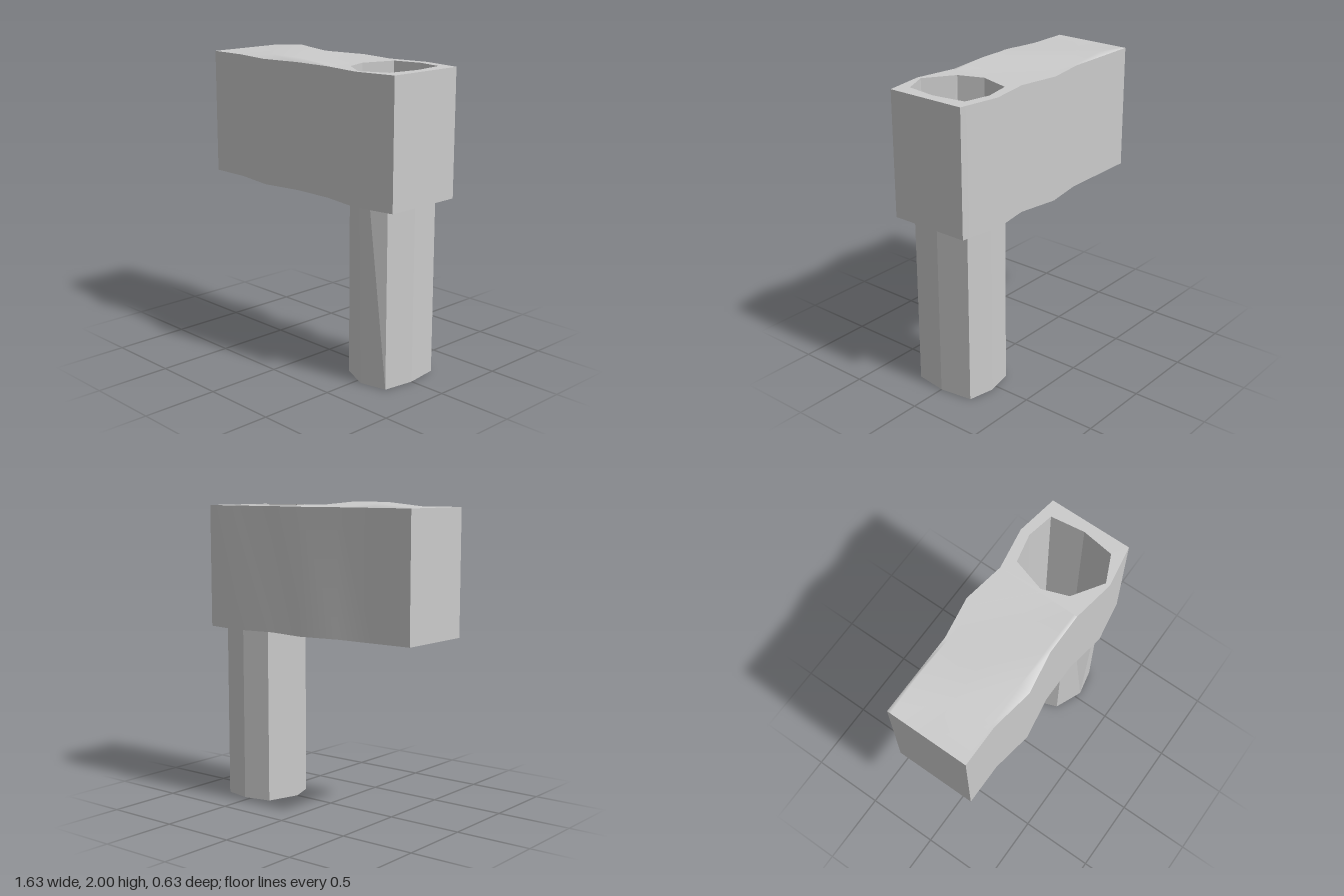
import * as THREE from 'three';

const TOP = 1.975, BASE = 1.16, PEAK = 2.0;
const X = [-0.817, -0.545, -0.272, 0, 0.272, 0.545, 0.817];
// depth of the wavy front and back walls at each X station
const FRONT = [0.272, 0.272, 0.317, 0.272, 0.272, 0.317, 0.272];
const BACK = [-0.272, -0.272, -0.272, -0.317, -0.272, -0.317, -0.272];

// surface through rows of points
function sheet(rows) {
  const n = rows[0].length, index = [];
  for (let r = 0; r < rows.length - 1; r++) {
    for (let c = 0; c < n - 1; c++) {
      const a = r * n + c, d = a + n;
      index.push(a, a + 1, d, a + 1, d + 1, d);
    }
  }
  const geo = new THREE.BufferGeometry();
  geo.setAttribute('position', new THREE.Float32BufferAttribute(rows.flat(2), 3));
  geo.setIndex(index);
  geo.computeVertexNormals();
  return geo;
}

// vertical wall above a plan line of [x, z] points
const wall = (line, y0, y1) => sheet([y0, y1].map(y => line.map(([x, z]) => [x, y, z])));

// horizontal plate from a plan outline, with an optional hole
function plate(outline, y, hole) {
  const pts = list => list.map(([x, z]) => new THREE.Vector2(x, -z));
  const shape = new THREE.Shape(pts(outline));
  if (hole) shape.holes.push(new THREE.Path(pts(hole)));
  return new THREE.ShapeGeometry(shape).rotateX(-Math.PI / 2).translate(0, y, 0);
}

export function createModel() {
  const group = new THREE.Group();
  const smooth = new THREE.MeshStandardMaterial({ color: 0xcccccc, side: THREE.DoubleSide });
  const flat = new THREE.MeshStandardMaterial({ color: 0xcccccc, side: THREE.DoubleSide, flatShading: true });
  const add = (name, geo, mat = smooth) => {
    const mesh = new THREE.Mesh(geo, mat);
    mesh.name = name;
    group.add(mesh);
  };

  // block walls, open underneath
  const front = X.map((x, i) => [x, FRONT[i]]);
  const back = X.map((x, i) => [x, BACK[i]]).reverse();
  add('frontWall', wall(front, BASE, TOP));
  add('backWall', wall(back, BASE, TOP));
  add('leftEnd', wall([front[6], back[0]], BASE, TOP));
  add('rightEnd', wall([back[6], front[0]], BASE, TOP));

  // eight-sided shaft, its front corner leaning in toward the bottom
  const ring = z => [[0.295, 0], [0.355, 0.165], [0.545, z], [0.72, 0.21],
    [0.75, 0], [0.72, -0.22], [0.545, -0.255], [0.36, -0.215]];
  const rim = ring(0.29), foot = ring(0.247);
  const loop = (r, y) => [...r, r[0]].map(([x, z]) => [x, y, z]);
  add('shaft', sheet([loop(foot, 0), loop(rim, TOP)]), flat);
  add('shaftFloor', plate(foot, 0));

  // uneven top, with low bumps near the edges
  const bumps = { '1,-0.25': PEAK, '2,0.25': PEAK, '3,0.25': PEAK };
  const rows = [null, 0.25, 0, -0.25, null].map((z, r) =>
    X.slice(0, 5).map((x, i) => [
      x,
      bumps[`${i},${z}`] ?? TOP,
      z ?? (r === 0 ? FRONT[i] : BACK[i]),
    ]));
  add('unevenTop', sheet(rows));

  // flat top around the shaft opening
  add('openingTop', plate([...front.slice(4), ...back.slice(0, 3)], TOP, rim));
  return group;
}
